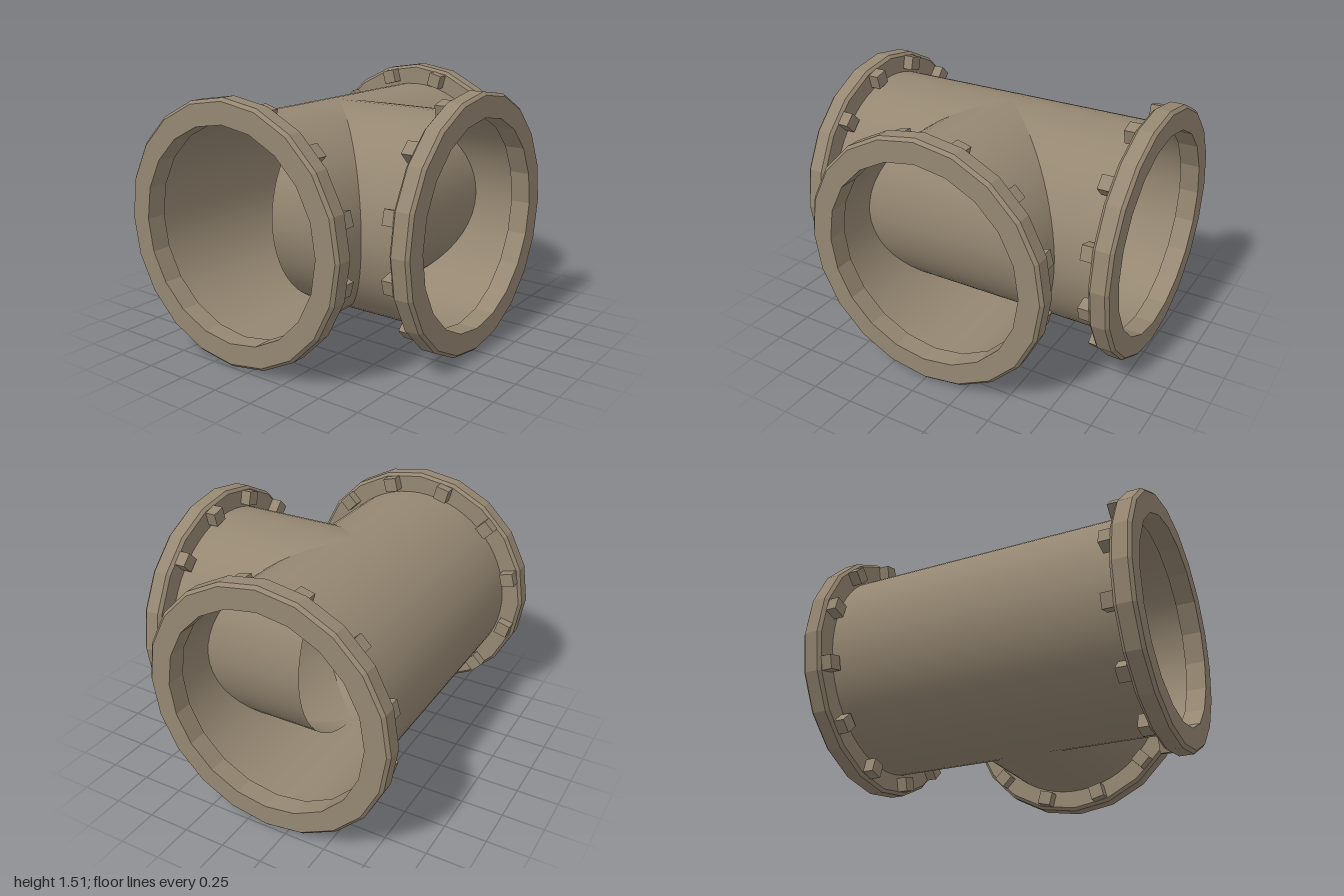
import * as THREE from 'three';

const AXIS_Y = 0.756; // height of the pipe axes
const AXIS_X = -0.125; // sideways offset of the main pipe
const PIPE_R = 0.626;

export function createModel() {
  const model = new THREE.Group();
  model.name = 'pipeTee';
  const metal = new THREE.MeshStandardMaterial({ color: 0x958772, side: THREE.DoubleSide });
  metal.name = 'weathered brown metal';

  // Open smooth tube along its local y, starting at the origin
  function tube(name, length) {
    const geo = new THREE.CylinderGeometry(PIPE_R, PIPE_R, length, 60, 1, true);
    geo.translate(0, length / 2, 0);
    const mesh = new THREE.Mesh(geo, metal);
    mesh.name = name;
    return mesh;
  }

  // Bevelled 20-sided ring, outer face at local y = 0, body below it
  const ring = [
    [0.613, -0.12], [0.737, -0.12], [0.755, -0.102],
    [0.755, -0.018], [0.737, 0], [0.613, 0], [0.613, -0.12],
  ].map(([r, y]) => new THREE.Vector2(r, y));
  const ringGeo = new THREE.LatheGeometry(ring, 20).toNonIndexed();
  ringGeo.computeVertexNormals();
  const boltGeo = new THREE.BoxGeometry(0.085, 0.07, 0.085);

  // Flange with twelve square bolts behind it
  function flange(name) {
    const group = new THREE.Group();
    group.name = name;
    const rim = new THREE.Mesh(ringGeo, metal);
    rim.name = name + 'Ring';
    group.add(rim);
    for (let i = 0; i < 12; i++) {
      const a = ((i + 0.5) * Math.PI) / 6;
      const bolt = new THREE.Mesh(boltGeo, metal);
      bolt.name = 'bolt';
      bolt.position.set(0.688 * Math.sin(a), -0.15, 0.688 * Math.cos(a));
      bolt.rotation.y = a;
      group.add(bolt);
    }
    return group;
  }

  // Main pipe, running front to back
  const main = tube('mainPipe', 1.88);
  main.rotation.x = Math.PI / 2;
  main.position.set(AXIS_X, AXIS_Y, -0.94);
  model.add(main);
  for (const s of [1, -1]) {
    const end = flange(s > 0 ? 'frontFlange' : 'backFlange');
    end.rotation.x = (s * Math.PI) / 2;
    end.position.set(AXIS_X, AXIS_Y, s);
    model.add(end);
  }

  // Side branch, starting on the main pipe's axis
  const branch = tube('branchPipe', 0.94);
  branch.rotation.z = -Math.PI / 2;
  branch.position.set(AXIS_X, AXIS_Y, 0);
  const branchEnd = flange('branchFlange');
  branchEnd.rotation.z = -Math.PI / 2;
  branchEnd.position.set(0.877, AXIS_Y, 0);
  model.add(branch, branchEnd);

  return model;
}
